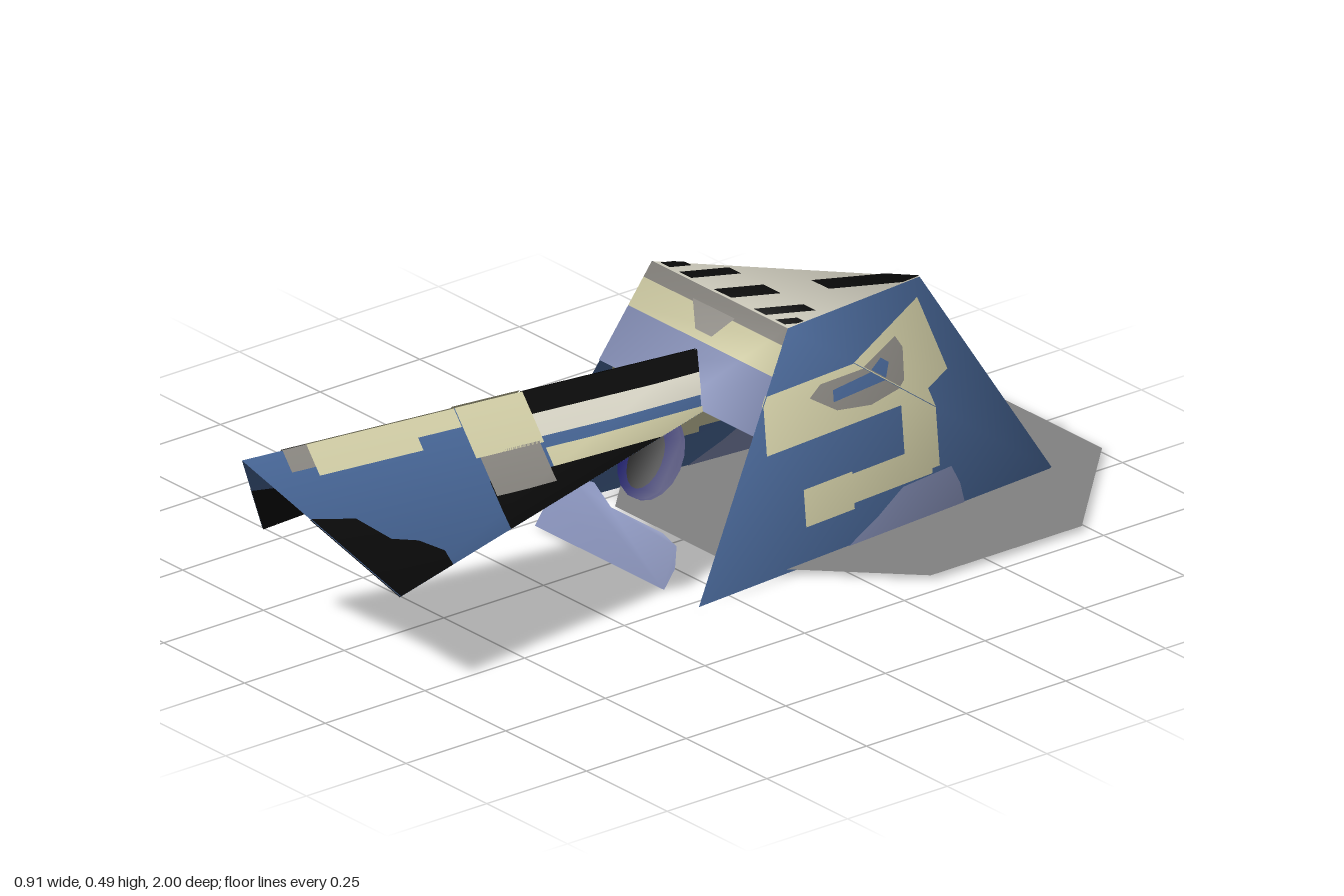
import * as THREE from 'three';

const mat = (name, color) => {
  const m = new THREE.MeshStandardMaterial({ color, side: THREE.DoubleSide });
  m.name = name;
  return m;
};
const CX = -0.008; // centre line
const V = (x, y, z) => new THREE.Vector3(CX + x, y, z);

// Corner with position p and a smooth normal n, shared by its faces
const corner = (x, y, z) => ({ p: V(x, y, z), n: new THREE.Vector3() });

// Orient triangles away from an inner point and gather smooth corner normals
function shell(tris, inside) {
  for (const t of tris) {
    const face = () => t[1].p.clone().sub(t[0].p).cross(t[2].p.clone().sub(t[0].p));
    if (face().dot(t[0].p.clone().sub(inside)) < 0) t.reverse();
    t.normal = face();
    t.forEach((c) => c.n.add(t.normal));
    t.normal.normalize();
  }
  tris.flat().forEach((c) => c.n.normalize());
}

// Clip a 2D polygon to a triangle
function clip(poly, tri) {
  const area = (a, b, c) => (b[0] - a[0]) * (c[1] - a[1]) - (b[1] - a[1]) * (c[0] - a[0]);
  const sign = Math.sign(area(...tri));
  for (let i = 0; i < 3; i++) {
    const a = tri[i], b = tri[(i + 1) % 3], out = [];
    poly.forEach((p, k) => {
      const q = poly[(k + 1) % poly.length];
      const dp = area(a, b, p) * sign, dq = area(a, b, q) * sign;
      if (dp >= 0) out.push(p);
      if (dp * dq < 0) {
        const t = dp / (dp - dq);
        out.push([p[0] + (q[0] - p[0]) * t, p[1] + (q[1] - p[1]) * t]);
      }
    });
    poly = out;
  }
  return poly;
}

// Lay a flat outline, given along two axes, onto triangles; layer 0 is the bare surface
function paint(group, name, tris, axes, outline, material, layer = 1) {
  const pos = [], nor = [];
  for (const t of tris) {
    const flat = t.map((c) => [c.p[axes[0]], c.p[axes[1]]]);
    const poly = outline ? clip(outline, flat) : flat;
    if (poly.length < 3) continue;
    const [a, b, c] = flat;
    const d = (b[1] - c[1]) * (a[0] - c[0]) + (c[0] - b[0]) * (a[1] - c[1]);
    const pts = poly.map(([u, v]) => {
      const w0 = ((b[1] - c[1]) * (u - c[0]) + (c[0] - b[0]) * (v - c[1])) / d;
      const w1 = ((c[1] - a[1]) * (u - c[0]) + (a[0] - c[0]) * (v - c[1])) / d;
      const w = [w0, w1, 1 - w0 - w1];
      const mix = (k) => t.reduce((s, q, i) => s.addScaledVector(q[k], w[i]), new THREE.Vector3());
      return { p: mix('p'), n: mix('n').normalize() };
    });
    const contour = poly.map(([u, v]) => new THREE.Vector2(u, v));
    for (const f of THREE.ShapeUtils.triangulateShape(contour, [])) {
      const [p, q, r] = f.map((i) => pts[i].p);
      if (q.clone().sub(p).cross(r.clone().sub(p)).dot(t.normal) < 0) f.reverse();
      for (const side of layer ? [1, -1] : [0]) {
        for (const i of f) {
          pos.push(...pts[i].p.clone().addScaledVector(t.normal, side * layer * 0.0025));
          nor.push(...pts[i].n);
        }
      }
    }
  }
  if (!pos.length) return;
  const g = new THREE.BufferGeometry();
  g.setAttribute('position', new THREE.Float32BufferAttribute(pos, 3));
  g.setAttribute('normal', new THREE.Float32BufferAttribute(nor, 3));
  const mesh = new THREE.Mesh(g, material);
  mesh.name = name;
  group.add(mesh);
}

const rect = (a, b, c, d) => [[a, c], [b, c], [b, d], [a, d]];
const oval = (x, y, rx, ry) => Array.from({ length: 18 }, (_, i) => {
  const t = (i / 18) * Math.PI * 2;
  return [x + rx * Math.cos(t), y + ry * Math.sin(t)];
});

export function createModel() {
  const blue = mat('blue', 0x4a6a9c), lavender = mat('lavender', 0x8690b8);
  const beige = mat('beige', 0xd8d4ab), grey = mat('warm grey', 0x8f8c86);
  const white = mat('off white', 0xe0ddcd), navy = mat('navy', 0x0c0c5e);
  const black = mat('black', 0x0b0b0b), discGrey = mat('disc grey', 0x828282);
  const model = new THREE.Group();
  const part = (name) => {
    const g = new THREE.Group();
    g.name = name;
    model.add(g);
    return g;
  };

  // Body: wide base, front top edge, single rear peak, open underneath
  const [FL, FR] = [1, -1].map((s) => corner(s * 0.283, 0, 0.083));
  const [BL, BR] = [1, -1].map((s) => corner(s * 0.207, 0, -0.87));
  const [TL, TR] = [1, -1].map((s) => corner(s * 0.209, 0.49, -0.2));
  const peak = corner(0, 0.39, -0.7);
  const front = [[TL, TR, FR], [TL, FR, FL]];
  const back = [[BL, BR, peak]];
  const top = [[TL, TR, peak]];
  const sides = [[[BL, TL, FL], [BL, peak, TL]], [[BR, TR, FR], [BR, peak, TR]]];
  shell([...front, ...back, ...top, ...sides.flat()], V(0, 0.2, -0.35));

  const body = part('body');
  paint(body, 'bodyShell', [...front, ...sides.flat()], ['z', 'y'], null, blue, 0);
  paint(body, 'backPanel', back, ['x', 'y'], null, blue, 0);
  paint(body, 'topPanel', top, ['x', 'z'], null, white, 0);

  // Front bands
  paint(body, 'upperBand', front, ['x', 'y'], rect(-1, 1, 0.3, 0.405), lavender);
  paint(body, 'beigeBand', front, ['x', 'y'], rect(-1, 1, 0.405, 0.46), beige);
  paint(body, 'rimBand', front, ['x', 'y'], rect(-1, 1, 0.46, 0.5), grey);
  paint(body, 'rimNotch', front, ['x', 'y'], [[-0.07, 0.465], [-0.03, 0.42], [0.02, 0.42], [0.06, 0.465]], grey, 2);

  // Round marks and lower patches on front and back
  for (const face of [front, back]) {
    paint(body, 'lowerPatch', face, ['x', 'y'], [[-0.23, 0], [-0.225, 0.05], [-0.19, 0.1],
      [-0.13, 0.11], [-0.06, 0.085], [0.1, 0.085], [0.15, 0.075], [0.17, 0.04], [0.165, 0]], lavender);
    paint(body, 'markRing', face, ['x', 'y'], oval(-0.01, 0.193, 0.084, 0.077), navy, 2);
    paint(body, 'markCentre', face, ['x', 'y'], oval(-0.014, 0.186, 0.046, 0.054), black, 3);
  }

  // Side markings
  for (const side of sides) {
    const zy = ['z', 'y'];
    paint(body, 'sideBand', side, zy, rect(-0.66, -0.12, 0.25, 0.37), beige);
    paint(body, 'sideStem', side, zy, rect(-0.57, -0.48, 0.1, 0.25), beige);
    paint(body, 'sideBar', side, zy, rect(-0.55, -0.33, 0.09, 0.15), beige);
    paint(body, 'sideFoot', side, zy, rect(-0.34, -0.21, 0.078, 0.155), beige);
    paint(body, 'sideGrey', side, zy, [[-0.54, 0.33], [-0.5, 0.29], [-0.4, 0.275], [-0.31, 0.29],
      [-0.24, 0.335], [-0.27, 0.355], [-0.53, 0.352]], grey, 2);
    paint(body, 'sideSlot', side, zy, [[-0.47, 0.33], [-0.44, 0.315], [-0.3, 0.31], [-0.3, 0.335], [-0.45, 0.345]], blue, 3);
    paint(body, 'sidePatch', side, zy, [[-0.3, 0], [-0.4, 0.045], [-0.47, 0.085], [-0.6, 0.09],
      [-0.62, 0.05], [-0.63, 0]], lavender);
  }

  // Top stripes
  const xz = ['x', 'z'];
  paint(body, 'peakStripe', top, xz, rect(CX - 0.027, CX + 0.027, -0.71, -0.45), black);
  for (const x of [-0.115, 0, 0.115]) {
    const w = x ? 0.019 : 0.027;
    paint(body, 'topStripe', top, xz, rect(CX + x - w, CX + x + w, -0.33, -0.205), black);
  }
  for (const s of [-1, 1]) {
    paint(body, 'topCornerStripe', top, xz, rect(CX + s * 0.178 - 0.015, CX + s * 0.178 + 0.015, -0.26, -0.205), black);
  }

  // Folded beak: a ridge with two sloping wings
  const beak = part('beak');
  const ridgeBack = corner(0, 0.39, -0.143), tip = corner(0, 0.47, 1);
  const wings = [1, -1].map((s) => {
    const wing = corner(s * 0.213, 0.19, 0.775), root = corner(s * 0.082, 0.3, -0.09);
    return [[ridgeBack, tip, wing], [ridgeBack, wing, root]];
  });
  shell(wings.flat(), V(0, 0, 0.4));
  wings.forEach((wing, i) => {
    const s = i ? -1 : 1;
    const spot = (name, pts, m, layer) =>
      paint(beak, name, wing, xz, pts.map(([x, z]) => [CX + s * x, z]), m, layer);
    paint(beak, 'wing', wing, xz, null, blue, 0);
    spot('wingCorner', [[0.3, 0.6], [0.17, 0.63], [0.15, 0.68], [0.14, 0.74],
      [0.105, 0.8], [0.09, 0.92], [0.3, 0.92]], black);
    spot('outerEdge', rect(0.1, 0.3, -0.2, 0.46), black);
    spot('greyCuff', rect(0.065, 0.12, 0.31, 0.46), grey, 2);
    spot('beigeCuff', rect(0, 0.068, 0.3, 0.47), beige, 2);
    spot('ridgeNarrow', rect(0, 0.025, 0.47, 0.58), beige);
    spot('ridgeWide', rect(0, 0.042, 0.58, 0.84), beige);
    spot('ridgeEnd', rect(0, 0.03, 0.84, 0.9), grey);
    spot('ridgeStripe', rect(0, 0.03, -0.2, 0.3), black);
    spot('paleStripe', rect(0.03, 0.06, -0.2, 0.3), white);
    spot('beigeStripe', rect(0.075, 0.1, -0.1, 0.3), beige);
  });

  // Eight-sided ground disc
  const disc = new THREE.Mesh(new THREE.CircleGeometry(0.495, 8, Math.PI / 8), discGrey);
  disc.name = 'groundDisc';
  disc.rotation.x = -Math.PI / 2;
  disc.position.set(-0.003, 0.008, -0.543);
  model.add(disc);
  return model;
}
